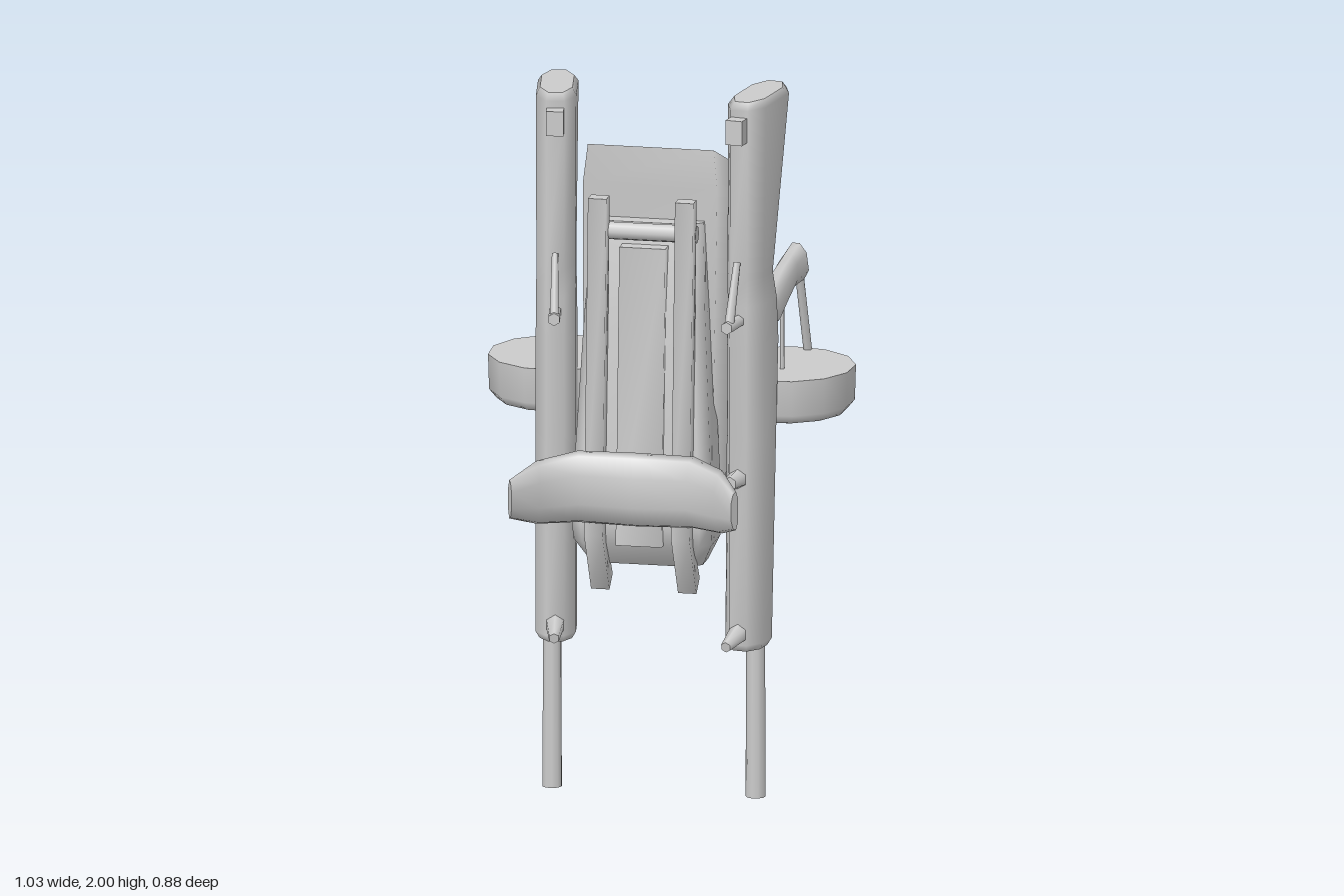
import * as THREE from 'three';

const material = new THREE.MeshStandardMaterial({ color: 0xcccccc });
const V = (x, y, z) => new THREE.Vector3(x, y, z);

function add(parent, name, geometry) {
  const mesh = new THREE.Mesh(geometry, material);
  mesh.name = name;
  parent.add(mesh);
  return mesh;
}

// Skin through equal-sized rings of points, with separate end caps
function loft(rings) {
  const n = rings[0].length, m = rings.length, index = [];
  const pts = [...rings.flat(), ...rings[0], ...rings[m - 1]];
  for (let i = 0; i < m - 1; i++) {
    for (let j = 0; j < n; j++) {
      const k = (j + 1) % n, a = i * n, b = a + n;
      index.push(a + j, a + k, b + k, a + j, b + k, b + j);
    }
  }
  for (let j = 1; j < n - 1; j++) {
    const s = m * n, e = s + n;
    index.push(s, s + j + 1, s + j, e, e + j, e + j + 1);
  }
  // Turn the faces outward if the rings ran the other way
  let volume = 0;
  for (let i = 0; i < index.length; i += 3) {
    volume += pts[index[i]].dot(pts[index[i + 1]].clone().cross(pts[index[i + 2]]));
  }
  if (volume < 0) index.reverse();
  const g = new THREE.BufferGeometry().setFromPoints(pts);
  g.setIndex(index);
  g.computeVertexNormals();
  return g;
}

// Straight bar between two points
function rod(parent, name, a, b, r0, r1 = r0, sides = 8) {
  const mesh = add(parent, name, new THREE.CylinderGeometry(r1, r0, a.distanceTo(b), sides));
  mesh.position.copy(a).lerp(b, 0.5);
  mesh.quaternion.setFromUnitVectors(V(0, 1, 0), b.clone().sub(a).normalize());
  return mesh;
}

// Bevelled eight-sided section at height y
function bodyRing([y, zf, zb, w]) {
  const c = Math.min(0.06, (zf - zb) * 0.3), n = w * 0.45;
  return [V(n, y, zf), V(w, y, zf - c), V(w, y, zb + c), V(n, y, zb),
    V(-n, y, zb), V(-w, y, zb + c), V(-w, y, zf - c), V(-n, y, zf)];
}

function makeGun(side) {
  const gun = new THREE.Group();
  gun.name = side > 0 ? 'leftGun' : 'rightGun';

  // Stock and receiver, muzzle down
  add(gun, 'gunBody', loft([
    [0.435, 0.085, -0.05, 0.045], [0.455, 0.1, -0.065, 0.056], [1.04, 0.1, -0.108, 0.056],
    [1.3, 0.1, -0.125, 0.056], [1.42, 0.095, -0.115, 0.055], [1.5, 0.09, -0.078, 0.054],
    [1.98, 0.09, -0.205, 0.056], [2, 0.07, -0.185, 0.045],
  ].map(bodyRing)));
  rod(gun, 'barrel', V(0.012 * side, 0, -0.005), V(0.012 * side, 0.46, -0.005), 0.028, 0.026, 10);

  // Curved grip: top edge z, y; bottom edge z, y; half width
  add(gun, 'grip', loft([
    [-0.06, 1.43, -0.06, 1.29, 0.034], [-0.125, 1.415, -0.14, 1.31, 0.034],
    [-0.22, 1.46, -0.2, 1.335, 0.028], [-0.28, 1.48, -0.28, 1.385, 0.028],
    [-0.34, 1.5, -0.375, 1.39, 0.028],
  ].map(([zt, yt, zb, yb, w]) => {
    const p = (x, t) => V(x, yt + (yb - yt) * t, zt + (zb - zt) * t);
    return [p(w * 0.4, 0), p(w, 0.25), p(w, 0.75), p(w * 0.4, 1),
      p(-w * 0.4, 1), p(-w, 0.75), p(-w, 0.25), p(-w * 0.4, 0)];
  })));

  // Drum magazine and the thin struts that reach it
  const drum = add(gun, 'drumMagazine', new THREE.LatheGeometry([
    [0, 1.05], [0.175, 1.05], [0.196, 1.075], [0.199, 1.175], [0.199, 1.175], [0, 1.175],
  ].map(([x, y]) => new THREE.Vector2(x, y)), 13));
  drum.position.z = -0.25;
  rod(gun, 'gripStrut', V(0, 1.46, -0.35), V(0, 1.15, -0.435), 0.012, 0.012, 6);
  for (const x of [-0.014, 0.014]) rod(gun, 'triggerGuard', V(x, 1.36, -0.2), V(x, 1.15, -0.2), 0.006, 0.006, 6);
  rod(gun, 'trigger', V(0, 1.33, -0.12), V(0, 1.26, -0.18), 0.013, 0.007, 6);

  // Fittings along the front edge
  const buckle = add(gun, 'stockFitting', new THREE.BoxGeometry(0.048, 0.07, 0.06));
  buckle.position.set(0, 1.925, 0.1);
  rod(gun, 'frontSight', V(0, 0.49, 0.08), V(0, 0.47, 0.19), 0.03, 0.015, 6);
  rod(gun, 'lowerSight', V(0, 0.93, 0.08), V(0, 0.93, 0.16), 0.03, 0.02, 6);
  rod(gun, 'handleBracket', V(0, 1.38, 0.08), V(0, 1.38, 0.185), 0.018, 0.018, 6);
  rod(gun, 'handle', V(0, 1.38, 0.165), V(0, 1.55, 0.105), 0.014, 0.01, 6);

  gun.position.x = 0.275 * side;
  gun.rotation.y = -0.17 * side;
  return gun;
}

export function createModel() {
  const model = new THREE.Group();
  model.name = 'gunBackpack';

  // Pack shell: front y, z, half width; back y, z, half width
  add(model, 'packShell', loft([
    [0.69, 0.11, 0.16, 0.88, -0.13, 0.19],
    [0.78, 0.08, 0.18, 0.98, -0.14, 0.2],
    [1.74, 0.05, 0.19, 1.66, -0.187, 0.21],
    [1.85, 0.04, 0.178, 1.75, -0.185, 0.205],
  ].map(([yf, zf, wf, yb, zb, wb]) =>
    [V(wf, yf, zf), V(wb, yb, zb), V(-wb, yb, zb), V(-wf, yf, zf)])));

  // Front plate, widening downward and tucked in at the base
  add(model, 'frontPlate', loft([
    [0.68, 0.13, 0.16], [0.75, 0.18, 0.195], [0.82, 0.193, 0.2], [1.4, 0.15, 0.17], [1.65, 0.1, 0.155],
  ].map(([y, z, w]) => [V(w, y, z - 0.03), V(w, y, 0.03), V(-w, y, 0.03), V(-w, y, z - 0.03),
    V(-w + 0.03, y, z), V(w - 0.03, y, z)])));

  // Raised centre panel
  add(model, 'centrePanel', loft([[0.75, 0.205, 0.065], [1.59, 0.155, 0.065]].map(([y, z, w]) =>
    [V(w, y, z), V(w, y, z - 0.07), V(-w, y, z - 0.07), V(-w, y, z)])));

  // Two upright rails that bend back at the bottom, joined by crossbars
  for (const s of [-1, 1]) {
    add(model, 'rail', loft([[0.605, 0.135], [0.78, 0.23], [1.73, 0.177]].map(([y, z], i) => {
      const x = 0.123 * s, lift = i === 0 ? 0.035 : 0;
      return [V(x + 0.026, y, z), V(x + 0.026, y + lift, z - 0.045),
        V(x - 0.026, y + lift, z - 0.045), V(x - 0.026, y, z)];
    })));
  }
  rod(model, 'upperCrossbar', V(-0.15, 1.63, 0.13), V(0.15, 1.63, 0.13), 0.025);
  rod(model, 'rearCrossbar', V(-0.28, 0.825, -0.08), V(0.28, 0.825, -0.08), 0.025);

  // Curved waist pad: x, back z, front x, front z, half height
  const half = [[0.325, 0.413, 0.31, 0.44, 0.055], [0.27, 0.315, 0.245, 0.365, 0.09],
    [0.17, 0.222, 0.15, 0.285, 0.102]];
  const pad = [...half, [0, 0.222, 0, 0.295, 0.105], ...half.slice().reverse().map(
    ([xb, zb, xf, zf, h]) => [-xb, zb, -xf, zf, h])];
  add(model, 'waistPad', loft(pad.map(([xb, zb, xf, zf, h]) => {
    const p = (t, y) => V(xb + (xf - xb) * t, 0.923 + y * h, zb + (zf - zb) * t);
    return [p(0, -0.6), p(0.3, -1), p(0.7, -0.9), p(1, -0.4), p(1, 0.4), p(0.7, 0.9), p(0.3, 1), p(0, 0.6)];
  })));

  for (const s of [-1, 1]) model.add(makeGun(s));
  return model;
}
